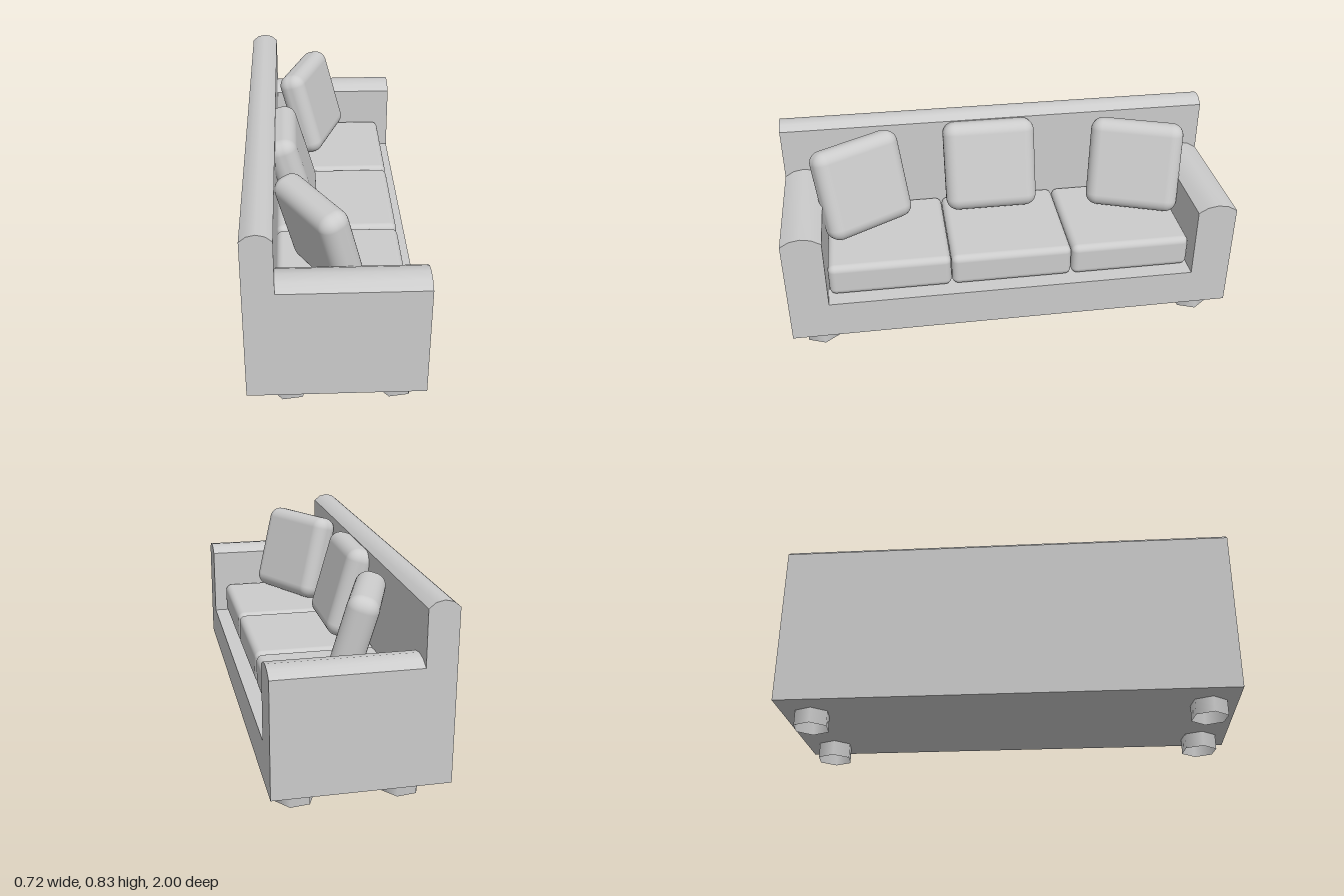
import * as THREE from 'three';
import { toCreasedNormals } from 'three/addons/utils/BufferGeometryUtils.js';
import { RoundedBoxGeometry } from 'three/addons/geometries/RoundedBoxGeometry.js';

const material = new THREE.MeshStandardMaterial({ color: 0xcccccc });
const openMaterial = new THREE.MeshStandardMaterial({ color: 0xcccccc, side: THREE.DoubleSide });

function add(parent, name, geometry, position, mat = material) {
  const mesh = new THREE.Mesh(geometry, mat);
  mesh.name = name;
  mesh.position.set(...position);
  parent.add(mesh);
  return mesh;
}

// Upright panel with a shallow arched top, extruded along z and centred
function archedPanel(width, bottom, shoulder, rise, length) {
  const half = width / 2;
  const halfAngle = 2 * Math.atan(rise / half);
  const radius = half / Math.sin(halfAngle);
  const points = [new THREE.Vector2(-half, bottom), new THREE.Vector2(half, bottom)];
  const segments = 4;
  for (let i = 0; i <= segments; i++) {
    const a = halfAngle * (1 - (2 * i) / segments);
    points.push(new THREE.Vector2(radius * Math.sin(a), shoulder + rise + radius * (Math.cos(a) - 1)));
  }
  const geometry = new THREE.ExtrudeGeometry(new THREE.Shape(points), { depth: length, bevelEnabled: false });
  geometry.translate(0, 0, -length / 2);
  return toCreasedNormals(geometry, 0.6);
}

export function createModel() {
  const sofa = new THREE.Group();
  sofa.name = 'sofa';

  // Frame: seat base, backrest and arms
  add(sofa, 'seatBase', new THREE.BoxGeometry(0.595, 0.17, 1.65), [0.0625, 0.155, 0]);
  add(sofa, 'backrest', archedPanel(0.125, 0.07, 0.795, 0.031, 2), [-0.2975, 0, 0]);
  const armGeometry = archedPanel(0.175, 0.07, 0.562, 0.032, 0.595);
  armGeometry.rotateY(Math.PI / 2);
  for (const side of [-1, 1]) {
    add(sofa, side > 0 ? 'leftArm' : 'rightArm', armGeometry, [0.0625, 0, side * 0.9125]);
  }

  // Three seat cushions side by side
  const seatGeometry = new RoundedBoxGeometry(0.54, 0.15, 0.545, 4, 0.03);
  for (const i of [-1, 0, 1]) {
    add(sofa, 'seatCushion', seatGeometry, [0.032, 0.316, i * 0.547]);
  }

  // Loose pillows leaning on the backrest, the outer two turned inwards
  const pillowGeometry = new RoundedBoxGeometry(0.13, 0.42, 0.43, 5, 0.055);
  const pillows = [
    [-0.16, 0.04, 0],
    [-0.055, 0.645, 0.52],
    [-0.055, -0.637, -0.35],
  ];
  for (const [x, z, yaw] of pillows) {
    add(sofa, 'pillow', pillowGeometry, [x, 0.595, z]).rotation.set(0, yaw, 0.28);
  }

  // Short six-sided open feet
  const footGeometry = new THREE.CylinderGeometry(0.082, 0.082, 0.07, 6, 1, true);
  footGeometry.rotateY(Math.PI / 2 + 0.14);
  for (const x of [-0.188, 0.244]) {
    for (const z of [-0.868, 0.874]) {
      add(sofa, 'foot', footGeometry, [x, 0.035, z], openMaterial);
    }
  }

  return sofa;
}
